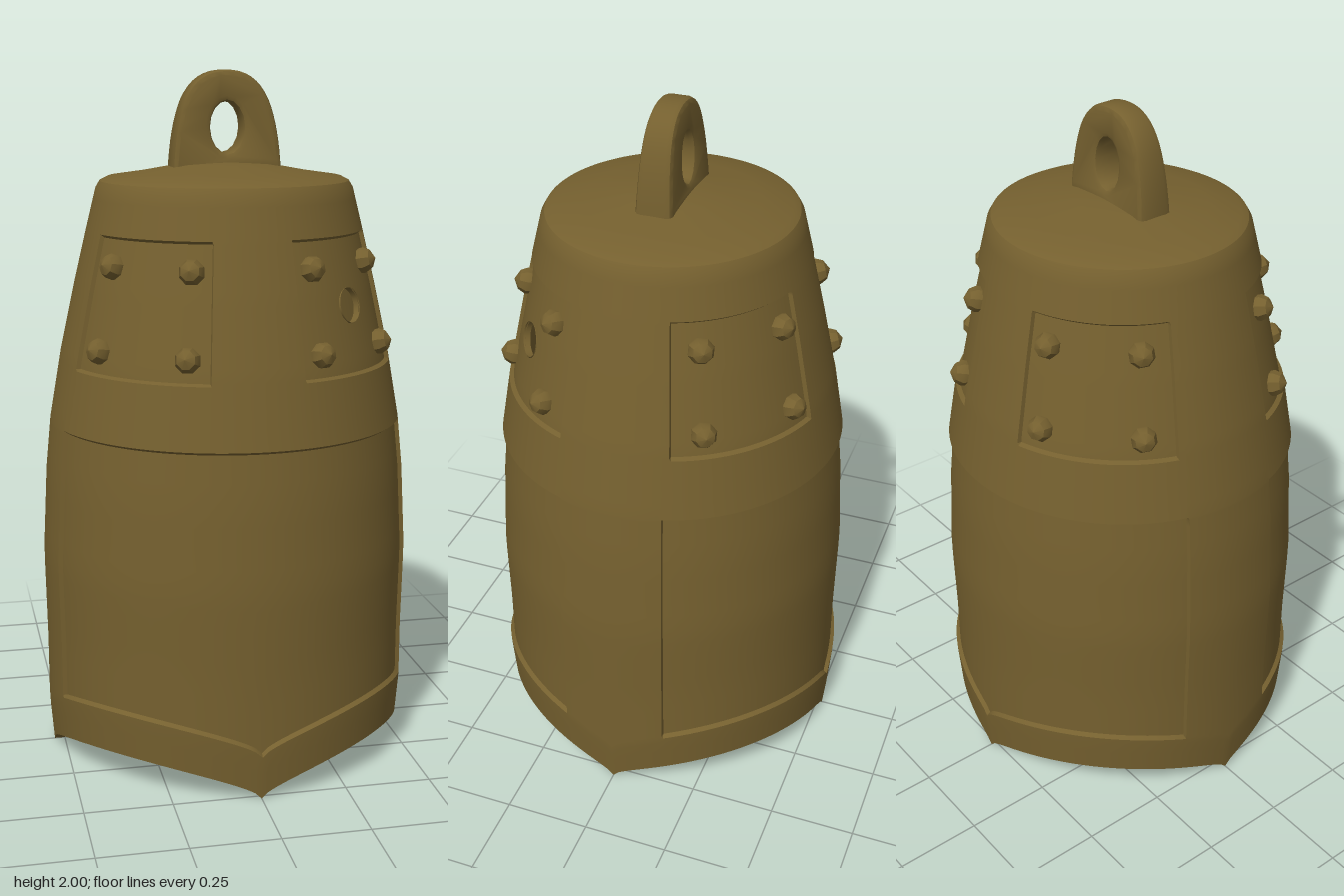
import * as THREE from 'three';
import { toCreasedNormals } from 'three/addons/utils/BufferGeometryUtils.js';

const RAD = Math.PI / 180;
const Z_SCALE = 0.975;
const WALL = 0.03;
const RECESS = 0.012;
const HOLE = { angle: 42, y: 1.36, r: 0.05 };

// Outer profile as [height, radius]
const PROFILE = [
  [0, 0.53], [0.12, 0.54], [0.3, 0.54], [0.6, 0.545], [0.85, 0.532], [1, 0.517],
  [1.2, 0.482], [1.4, 0.438], [1.55, 0.402], [1.67, 0.372], [1.69, 0.36],
];

function radiusAt(y) {
  for (let i = 1; i < PROFILE.length; i++) {
    const [y0, r0] = PROFILE[i - 1], [y1, r1] = PROFILE[i];
    if (y <= y1) return r0 + (r1 - r0) * (y - y0) / (y1 - y0);
  }
  return PROFILE[PROFILE.length - 1][1];
}

const uniqueSorted = (list) =>
  [...new Set(list.map((n) => Math.round(n * 1000) / 1000))].sort((a, b) => a - b);

// Angle from the front or back axis, 0 to 90 degrees
const foldAngle = (deg) => {
  const a = deg % 180;
  return a > 90 ? 180 - a : a;
};

// Sunken fields: two large lower panels and four upper squares
function isSunken(deg, v) {
  const f = foldAngle(deg);
  const lower = f < 72.7 && v > 0.132 && v < 0.996;
  const upper = f > 15.8 && f < 70.2 && v > 1.178 && v < 1.548;
  return lower || upper;
}

// Four arches between pointed feet, fading out up the wall
const archHeight = (deg) => 0.1 * Math.pow(Math.abs(Math.sin(2 * deg * RAD)), 0.65);
const archFade = (v) => 1 - THREE.MathUtils.smoothstep(v, 0.14, 0.7);

function polar(deg, r, y) {
  return new THREE.Vector3(r * Math.sin(deg * RAD), y, r * Math.cos(deg * RAD) * Z_SCALE);
}

function bellGeometry() {
  const quadrant = [15.5, 70.5, 72.5, 73];
  for (let f = 0; f <= 90; f += 2) quadrant.push(f);
  const angles = uniqueSorted(quadrant.flatMap((f) => [f, 180 - f, 180 + f, 360 - f]));

  const heights = [0, 0.03, 0.07, 0.11, 0.128, 0.136, 0.16, 0.2, 0.992, 1, 1.174, 1.182, 1.544, 1.552, 1.67, 1.69];
  for (let v = 0.25; v < 0.98; v += 0.06) heights.push(v);
  for (let v = 1.04; v < 1.66; v += 0.02) heights.push(v);
  const levels = uniqueSorted(heights);

  // Rows run from the inner crown, down the inside, and up the outside to the crown
  const rows = [{ r: 0, v: 1.7 }];
  for (const v of [...levels].reverse()) rows.push({ v, inner: true, wall: true });
  for (const v of levels) rows.push({ v, wall: true });
  rows.push({ r: 0.34, v: 1.7 }, { r: 0.25, v: 1.713 }, { r: 0.13, v: 1.735 }, { r: 0, v: 1.745 });

  const positions = [], inHole = [], index = [];
  for (const row of rows) {
    for (let deg of angles) {
      let v = row.v, cut = false;
      if (!row.wall) {
        positions.push(...polar(deg, row.r, v));
        inHole.push(false);
        continue;
      }
      // Move points inside the round opening out to its rim
      const arc = radiusAt(HOLE.y) * RAD;
      const du = (deg - HOLE.angle) * arc, dv = v - HOLE.y;
      const d = Math.hypot(du, dv);
      const sunken = isSunken(deg, v);
      if (d < HOLE.r) {
        cut = true;
        const k = HOLE.r / Math.max(d, 1e-4);
        deg = HOLE.angle + du * k / arc;
        v = HOLE.y + dv * k;
      }
      const r = radiusAt(v) - (row.inner ? WALL : sunken ? RECESS : 0);
      const y = v + archHeight(deg) * archFade(v) - (row.inner && v > 1.6 ? (v - 1.6) * 0.35 : 0);
      positions.push(...polar(deg, r, y));
      inHole.push(cut);
    }
  }
  const n = angles.length;
  for (let i = 0; i < rows.length - 1; i++) {
    for (let j = 0; j < n - 1; j++) {
      const a = i * n + j, b = a + 1, c = b + n, d = a + n;
      if (inHole[a] && inHole[b] && inHole[c] && inHole[d]) continue;
      if (rows[i].r !== 0) index.push(a, b, d);
      if (rows[i + 1].r !== 0) index.push(b, c, d);
      else index.push(b, d, a);
    }
  }
  // The last ring closes on a single point, so drop its repeated faces
  index.splice(-6 * (n - 1));
  const last = rows.length - 2;
  for (let j = 0; j < n - 1; j++) index.push(last * n + j, last * n + j + 1, (last + 1) * n + j);

  const geometry = new THREE.BufferGeometry();
  geometry.setAttribute('position', new THREE.Float32BufferAttribute(positions, 3));
  geometry.setIndex(index);
  return toCreasedNormals(geometry, 0.5);
}

// Hanging loop: a rounded arch with an oval opening, thinner at the top
function loopGeometry() {
  const shape = new THREE.Shape();
  shape.moveTo(-0.145, 1.715);
  shape.lineTo(0.145, 1.715);
  shape.bezierCurveTo(0.14, 1.8, 0.13, 1.86, 0.11, 1.91);
  shape.bezierCurveTo(0.085, 1.965, 0.05, 1.985, 0, 1.985);
  shape.bezierCurveTo(-0.05, 1.985, -0.085, 1.965, -0.11, 1.91);
  shape.bezierCurveTo(-0.13, 1.86, -0.14, 1.8, -0.145, 1.715);
  const opening = new THREE.Path();
  opening.absellipse(0, 1.84, 0.063, 0.088, 0, Math.PI * 2, true);
  shape.holes.push(opening);
  const geometry = new THREE.ExtrudeGeometry(shape, {
    depth: 0.07, bevelThickness: 0.02, bevelSize: 0.015, bevelSegments: 2, curveSegments: 8,
  });
  geometry.translate(0, 0, -0.035);
  const p = geometry.attributes.position;
  for (let i = 0; i < p.count; i++) {
    p.setZ(i, p.getZ(i) * (1 - 0.28 * (p.getY(i) - 1.7) / 0.3));
  }
  return toCreasedNormals(geometry, 0.7);
}

export function createModel() {
  const group = new THREE.Group();
  const bronze = new THREE.MeshStandardMaterial({ color: 0x75602f });
  const bronzeDouble = new THREE.MeshStandardMaterial({ color: 0x75602f, side: THREE.DoubleSide });
  const up = new THREE.Vector3(0, 1, 0);

  const add = (name, geometry, material = bronze) => {
    const mesh = new THREE.Mesh(geometry, material);
    mesh.name = name;
    group.add(mesh);
    return mesh;
  };
  // Place a part on the wall with its own y axis pointing outward
  const placeOnWall = (mesh, deg, y, inset) => {
    mesh.position.copy(polar(deg, radiusAt(y) - inset, y));
    const outward = polar(deg, 1, 0.22).normalize();
    mesh.quaternion.setFromUnitVectors(up, outward);
  };

  add('bellBody', bellGeometry());
  add('hangingLoop', loopGeometry());

  // Wall of the round opening
  const rim = add('holeRim', new THREE.CylinderGeometry(HOLE.r, HOLE.r, 0.02, 24, 1, true), bronzeDouble);
  placeOnWall(rim, HOLE.angle, HOLE.y, 0.021);

  // Four bosses in each upper square
  const bossGeometry = toCreasedNormals(new THREE.LatheGeometry(
    [[0.034, -0.01], [0.037, 0.012], [0.027, 0.032], [0, 0.046]].map(([x, y]) => new THREE.Vector2(x, y)), 8), 0.6);
  for (const mirror of [(f) => f, (f) => 180 - f, (f) => 180 + f, (f) => 360 - f]) {
    for (const f of [23.5, 59]) {
      for (const y of [1.24, 1.47]) placeOnWall(add('boss', bossGeometry), mirror(f), y, RECESS);
    }
  }
  return group;
}
